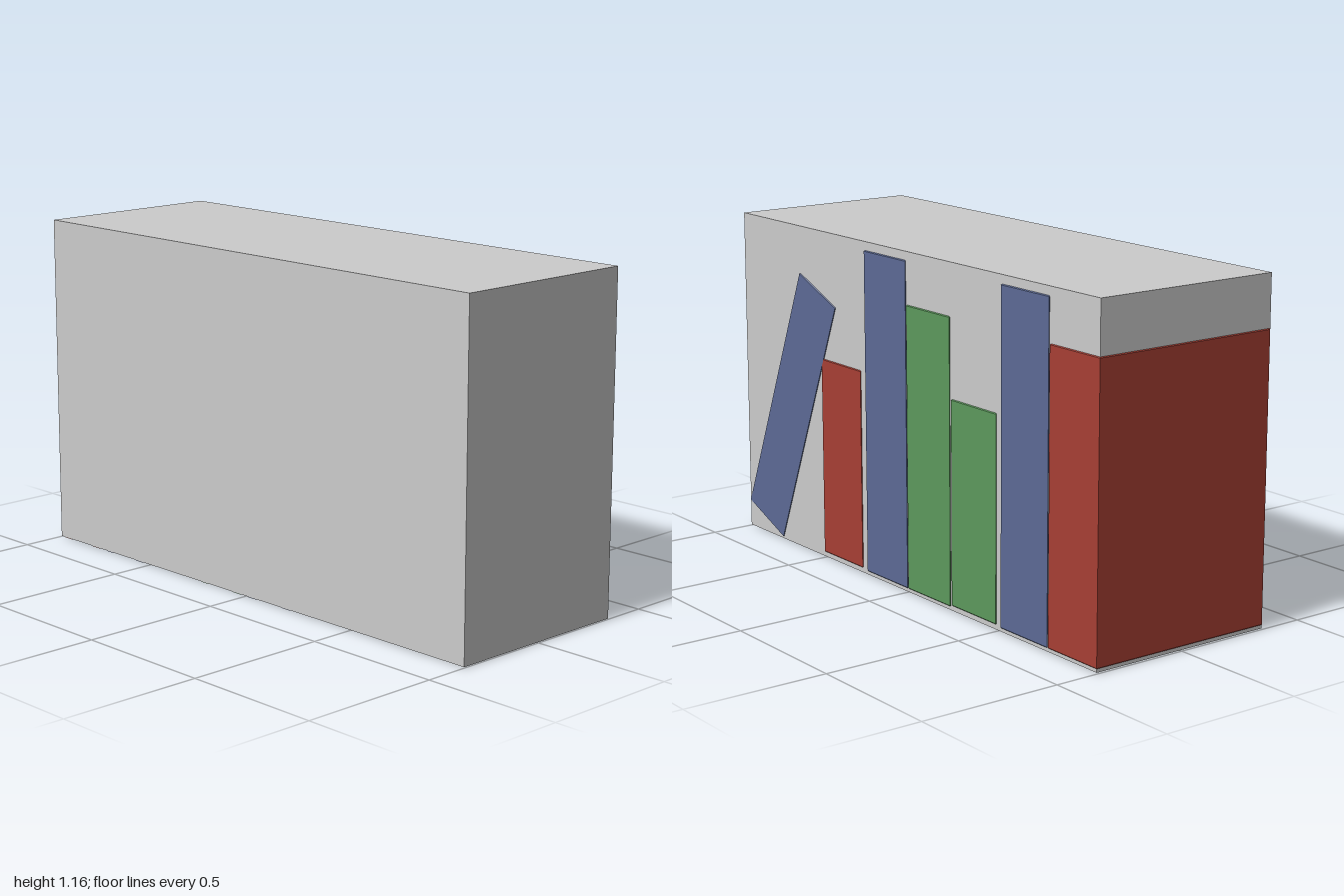
import * as THREE from 'three';

const BEVEL = 0.018, WIDTH = 0.238, COVER = 0.04, BACK = -0.346, FRONT = 0.342;
const RED = 0xa73f34, BLUE = 0x5c6a95, GREEN = 0x5c995c;

// Book jacket: chamfered U (spine at the back, two covers), standing on y = 0
function jacketGeometry(height) {
  const w = WIDTH / 2 - BEVEL, spine = -BACK - BEVEL, open = -FRONT - 2 * BEVEL;
  const u = new THREE.Shape([
    [-w, open], [-w + COVER, open], [-w + COVER, spine - COVER], [w - COVER, spine - COVER],
    [w - COVER, open], [w, open], [w, spine], [-w, spine],
  ].map(([x, y]) => new THREE.Vector2(x, y)));
  const geo = new THREE.ExtrudeGeometry(u, {
    depth: height - 2 * BEVEL, bevelEnabled: true,
    bevelThickness: BEVEL, bevelSize: BEVEL, bevelSegments: 1,
  });
  geo.translate(0, 0, BEVEL).rotateX(-Math.PI / 2);
  // Trim the cover edges flush with the front of the case
  const p = geo.attributes.position;
  for (let i = 0; i < p.count; i++) p.setZ(i, Math.min(p.getZ(i), FRONT));
  geo.computeVertexNormals();
  return geo;
}

export function createModel() {
  const group = new THREE.Group();

  // Solid case, a hair smaller than the books where they show through
  const box = new THREE.Mesh(
    new THREE.BoxGeometry(1.997, 1.162, 0.688),
    new THREE.MeshStandardMaterial({ color: 0xcccccc }),
  );
  box.name = 'case';
  box.position.set(0.0015, 0.584, 0.001);
  group.add(box);

  const addBook = (name, color, height, x, y, tilt = 0) => {
    const mat = new THREE.MeshStandardMaterial({ color, flatShading: true });
    const book = new THREE.Mesh(jacketGeometry(height), mat);
    book.name = name;
    book.position.set(x, y, 0);
    book.rotation.z = tilt;
    group.add(book);
  };

  // Upright books: colour, height, x centre, base height
  [
    [RED, 1.003, -0.881, 0],
    [BLUE, 1.15, -0.638, 0],
    [GREEN, 0.728, -0.374, 0.005],
    [GREEN, 1.003, -0.127, 0],
    [BLUE, 1.15, 0.116, 0],
    [RED, 0.728, 0.384, 0.005],
  ].forEach(([color, h, x, y], i) => addBook(`uprightBook${i + 1}`, color, h, x, y));

  // Leaning book, turned about its lower end
  const tilt = 0.382, len = 1.003;
  addBook('leaningBook', BLUE, len,
    0.706 + Math.sin(tilt) * len / 2, 0.504 - Math.cos(tilt) * len / 2, tilt);

  return group;
}
